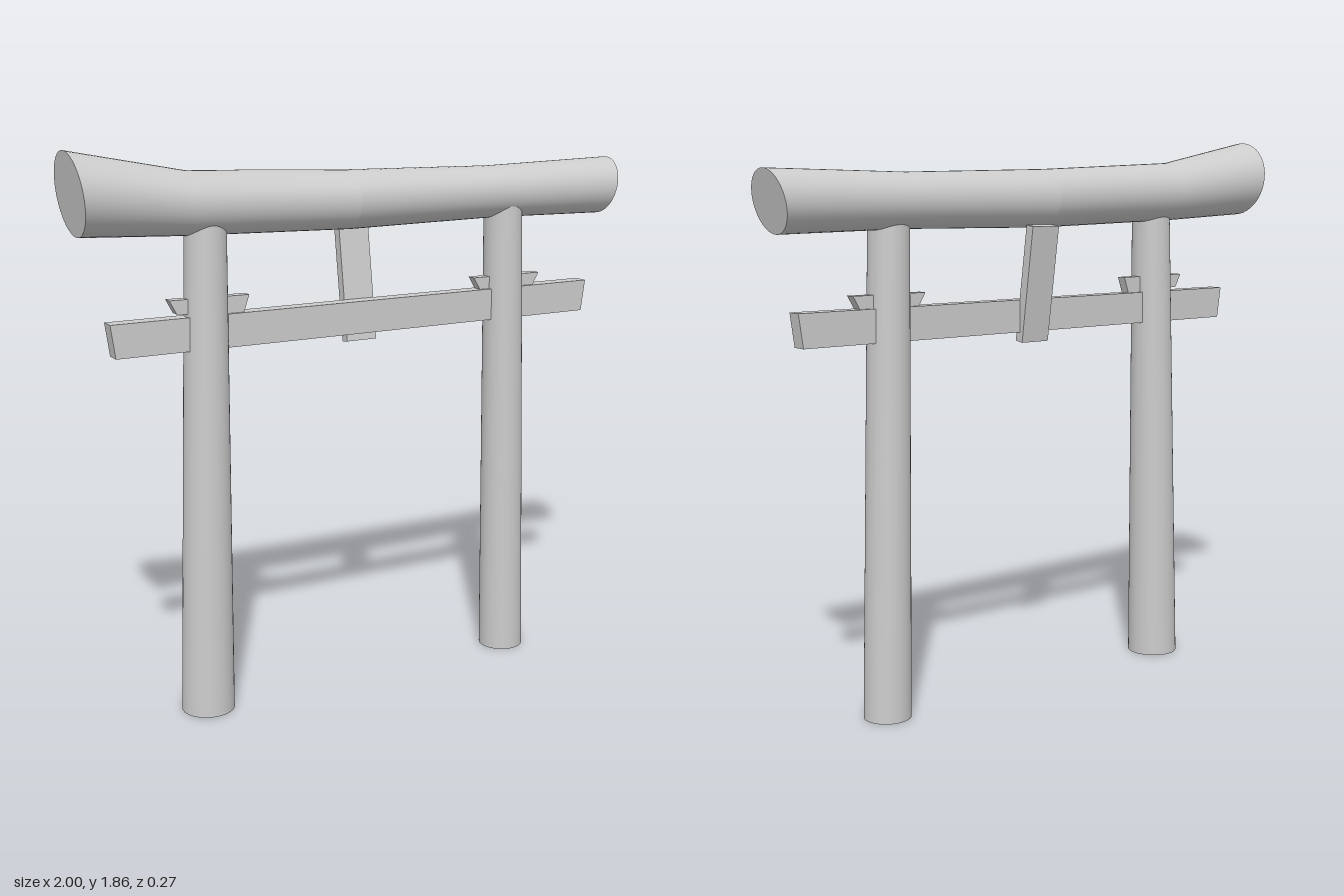
import * as THREE from 'three';
import { toCreasedNormals } from 'three/addons/utils/BufferGeometryUtils.js';

const material = new THREE.MeshStandardMaterial({ color: 0xcccccc });
const SIDES = 40;
const Z = 0.013; // depth of the posts and crossbar

// Closed solid through elliptical rings; each ring has a centre c and half-axes u, v
function loft(rings) {
  const pos = [], index = [];
  const n = rings.length;
  for (const { c, u, v } of rings) {
    for (let i = 0; i < SIDES; i++) {
      const a = (i / SIDES) * Math.PI * 2;
      for (let k = 0; k < 3; k++) pos.push(c[k] + u[k] * Math.cos(a) + v[k] * Math.sin(a));
    }
  }
  pos.push(...rings[0].c, ...rings[n - 1].c);
  const start = n * SIDES, end = start + 1, last = (n - 1) * SIDES;
  for (let i = 0; i < SIDES; i++) {
    const j = (i + 1) % SIDES;
    for (let r = 0; r < n - 1; r++) {
      const a = r * SIDES + i, b = r * SIDES + j;
      index.push(a, b, b + SIDES, a, b + SIDES, a + SIDES);
    }
    index.push(start, j, i, end, last + i, last + j);
  }
  const geo = new THREE.BufferGeometry();
  geo.setAttribute('position', new THREE.Float32BufferAttribute(pos, 3));
  geo.setIndex(index);
  return toCreasedNormals(geo, 0.6);
}

// Ring of the top log, from its highest and lowest points and its depth radius
const logRing = (xt, yt, xb, yb, rz) => ({
  c: [(xt + xb) / 2, (yt + yb) / 2, 0],
  u: [(xt - xb) / 2, (yt - yb) / 2, 0],
  v: [0, 0, rz],
});

const postRing = (x, y, r) => ({ c: [x, y, Z], u: [r, 0, 0], v: [0, 0, -r] });

// Board with a front outline, centred on the posts' depth
function board(points, depth) {
  const shape = new THREE.Shape(points.map(([x, y]) => new THREE.Vector2(x, y)));
  const geo = new THREE.ExtrudeGeometry(shape, { depth, bevelEnabled: false });
  return geo.translate(0, 0, Z - depth / 2);
}

export function createModel() {
  const group = new THREE.Group();
  const add = (name, geo) => {
    const mesh = new THREE.Mesh(geo, material);
    mesh.name = name;
    group.add(mesh);
    return mesh;
  };

  // Top log in two lengths meeting near the middle
  const joint = logRing(-0.05, 1.763, -0.05, 1.57, 0.1);
  add('topLogFlaredHalf', loft([
    logRing(-1, 1.86, -0.97, 1.6, 0.133),
    logRing(-0.62, 1.786, -0.62, 1.584, 0.104),
    joint,
  ]));
  add('topLogStraightHalf', loft([
    joint,
    logRing(0.5, 1.753, 0.5, 1.576, 0.092),
    logRing(0.997, 1.764, 0.955, 1.568, 0.099),
  ]));

  // Leaning, tapered posts
  add('rightPost', loft([postRing(-0.59, 0, 0.088), postRing(-0.557, 1.67, 0.066)]));
  add('leftPost', loft([postRing(0.583, 0, 0.078), postRing(0.551, 1.67, 0.066)]));

  // Crossbar through the posts
  add('crossbar', board([[-0.875, 1.225], [0.88, 1.225], [0.895, 1.333], [-0.89, 1.333]], 0.053));

  // Wedges above the crossbar
  add('rightWedge', board([[-0.668, 1.345], [-0.44, 1.33], [-0.42, 1.388], [-0.692, 1.39]], 0.034));
  add('leftWedge', board([[0.455, 1.33], [0.672, 1.33], [0.697, 1.375], [0.428, 1.375]], 0.034));

  // Tilted plaque behind the crossbar
  const plaque = add('plaque', new THREE.BoxGeometry(0.11, 0.39, 0.034));
  plaque.position.set(0, 1.386, -0.038);
  plaque.rotation.x = -0.15;

  return group;
}
